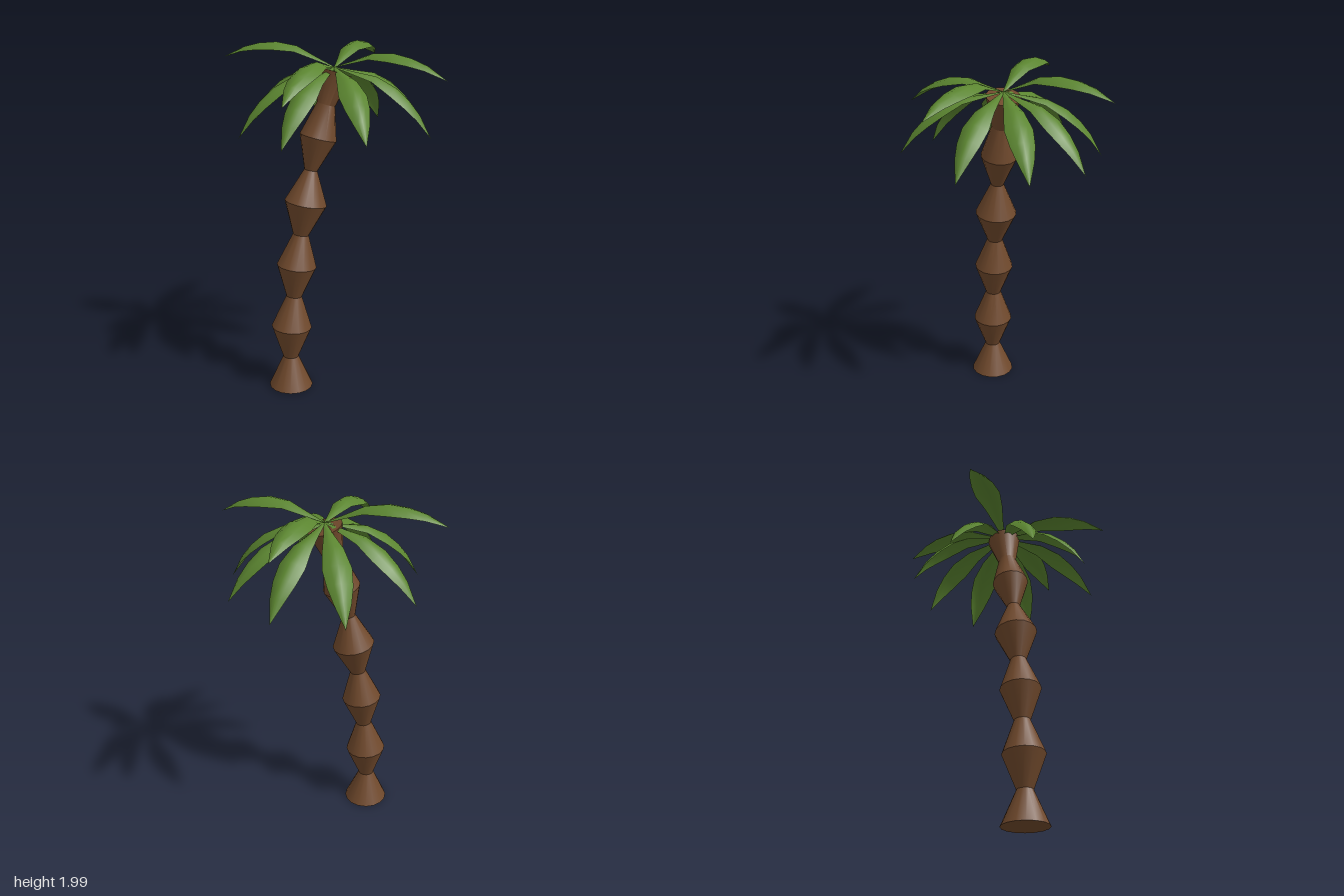
import * as THREE from 'three';
import { toCreasedNormals } from 'three/addons/utils/BufferGeometryUtils.js';

const bark = new THREE.MeshStandardMaterial({ color: 0x70492c });
bark.name = 'bark brown';
const green = new THREE.MeshStandardMaterial({ color: 0x5b8530, side: THREE.DoubleSide });
green.name = 'leaf green';

const CENTRE_Z = -0.01;

// Trunk rings, bottom to top: centre x, centre y, radius, lean towards +x
const RINGS = [
  [-0.285, 0.004, 0.128, 0.02],
  [-0.284, 0.19, 0.045, 0.03],
  [-0.275, 0.38, 0.117, 0.07],
  [-0.257, 0.57, 0.045, 0.1],
  [-0.238, 0.755, 0.114, 0.12],
  [-0.21, 0.94, 0.045, 0.16],
  [-0.178, 1.123, 0.12, 0.19],
  [-0.145, 1.31, 0.037, 0.21],
  [-0.1, 1.49, 0.104, 0.26],
  [-0.052, 1.67, 0.052, 0.29],
  [0, 1.845, 0.096, 0.32],
];

// Leaf stations from root to tip: distance along, rise, half width
const LEAF = [
  [0, 0, 0.006],
  [0.11, 0.046, 0.028],
  [0.22, 0.095, 0.055],
  [0.34, 0.108, 0.076],
  [0.44, 0.094, 0.066],
  [0.53, 0.066, 0.044],
  [0.65, 0, 0],
];

// Fronds: compass angle from +x towards +z, pitch of root-to-tip line (degrees)
const FRONDS = [
  [0, -33.5], [40, -34], [50.5, -3.5], [97, -30],
  [136.5, -11], [143, -34], [185, -33.5], [219, 3],
  [234.5, -32], [281.5, -33.5], [315.5, 1], [322.5, -34],
];

// Cylinder whose rows are moved onto the listed rings
function trunkGeometry() {
  const n = RINGS.length - 1;
  const g = new THREE.CylinderGeometry(1, 1, n, 16, n);
  const p = g.attributes.position;
  for (let i = 0; i < p.count; i++) {
    const [cx, cy, r, lean] = RINGS[Math.round(p.getY(i) + n / 2)];
    const x = p.getX(i) * r;
    p.setXYZ(i, cx + x * Math.cos(lean), cy - x * Math.sin(lean), CENTRE_Z + p.getZ(i) * r);
  }
  return toCreasedNormals(g, 0.5);
}

// Arched leaf with a domed cross-section, pointing along +x
function leafGeometry() {
  const n = LEAF.length - 1;
  const g = new THREE.PlaneGeometry(2, n, 4, n);
  const p = g.attributes.position;
  for (let i = 0; i < p.count; i++) {
    const side = p.getX(i);
    const [along, rise, half] = LEAF[Math.round(p.getY(i) + n / 2)];
    p.setXYZ(i, along, rise - 0.5 * half * side * side, side * half);
  }
  g.computeVertexNormals();
  return g;
}

export function createModel() {
  const palm = new THREE.Group();
  palm.name = 'palmTree';

  const trunk = new THREE.Mesh(trunkGeometry(), bark);
  trunk.name = 'trunk';
  palm.add(trunk);

  const crown = new THREE.Group();
  crown.name = 'crown';
  crown.position.set(0, 1.87, CENTRE_Z);
  const leaf = leafGeometry();
  FRONDS.forEach(([angle, pitch], i) => {
    const frond = new THREE.Mesh(leaf, green);
    frond.name = `frond${i + 1}`;
    frond.rotation.set(0, -THREE.MathUtils.degToRad(angle), THREE.MathUtils.degToRad(pitch), 'YZX');
    crown.add(frond);
  });
  palm.add(crown);
  return palm;
}
